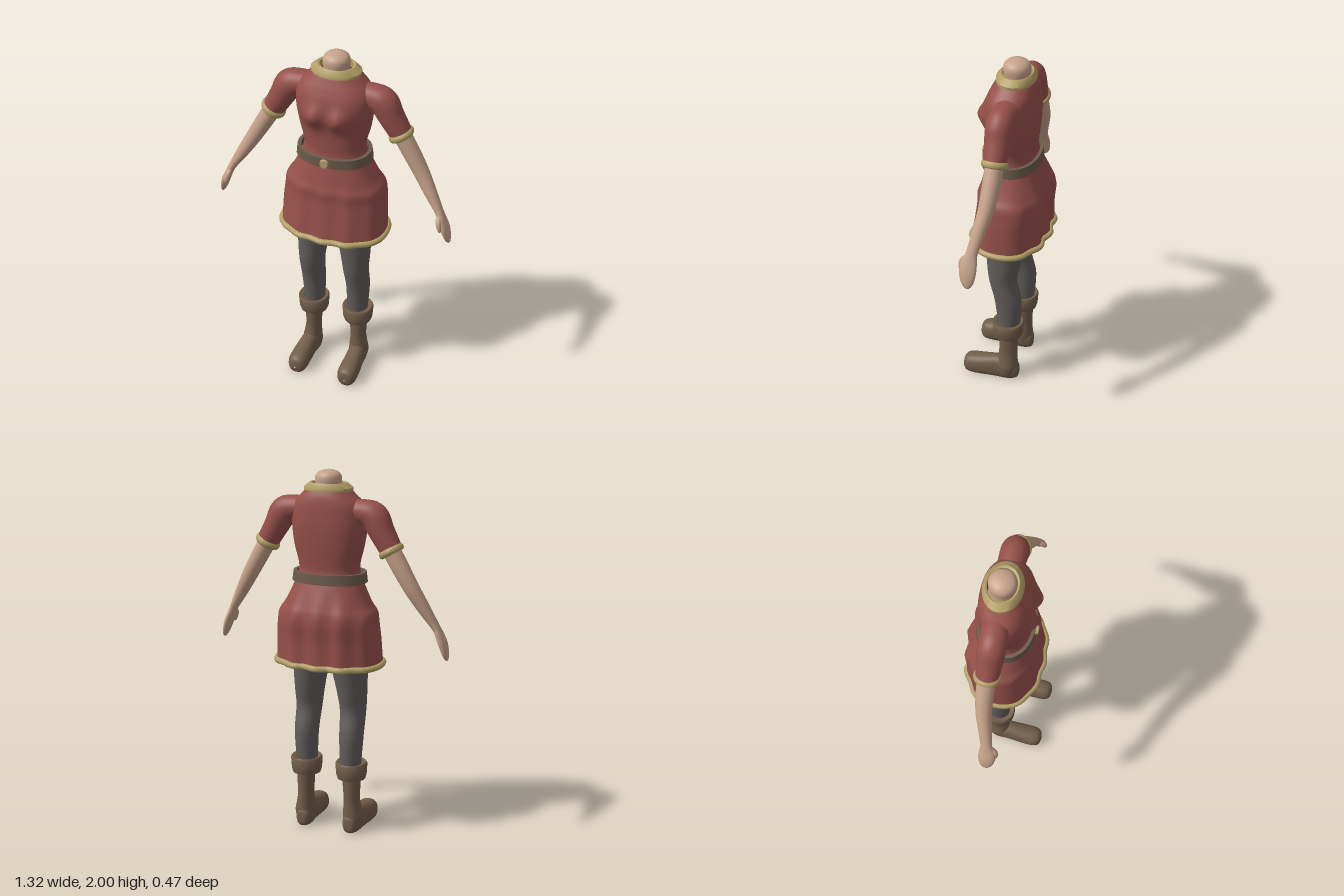
import * as THREE from 'three';
import { toCreasedNormals } from 'three/addons/utils/BufferGeometryUtils.js';

const material = (name, color, side = THREE.FrontSide) => {
  const m = new THREE.MeshStandardMaterial({ color, side });
  m.name = name;
  return m;
};

// Smoothly refine control rows with a Catmull-Rom rule
function refine(rows, steps) {
  const out = [];
  for (let i = 0; i < rows.length - 1; i++) {
    const a = rows[Math.max(i - 1, 0)], b = rows[i], c = rows[i + 1], d = rows[Math.min(i + 2, rows.length - 1)];
    for (let s = 0; s < steps; s++) {
      const t = s / steps;
      out.push(b.map((_, k) => 0.5 * (2 * b[k] + (c[k] - a[k]) * t + (2 * a[k] - 5 * b[k] + 4 * c[k] - d[k]) * t * t
        + (3 * b[k] - a[k] - 3 * c[k] + d[k]) * t * t * t)));
    }
  }
  out.push(rows[rows.length - 1]);
  return out;
}

// Loft of rings; each row is [x, y, z, radiusU, radiusV].
// axis 'y': level rings, 'z': upright rings, 'path': rings square to a path in the xy plane
function loft(rows, { axis = 'y', n = 32, steps = 5, power = 1, warp = null } = {}) {
  const R = steps > 1 ? refine(rows, steps) : rows;
  const pos = [], index = [];
  const u = new THREE.Vector3(1, 0, 0);
  const v = axis === 'z' ? new THREE.Vector3(0, 1, 0) : new THREE.Vector3(0, 0, 1);
  const at = (i) => new THREE.Vector3(...R[i].slice(0, 3));
  const bend = (t) => Math.sign(t) * Math.pow(Math.abs(t), power);
  let flip = false;
  R.forEach((r, i) => {
    const d = at(Math.min(i + 1, R.length - 1)).sub(at(Math.max(i - 1, 0)));
    if (axis === 'path') u.set(d.y, -d.x, 0).normalize();
    if (i === 0) flip = u.clone().cross(v).dot(d) < 0;
    for (let j = 0; j < n; j++) {
      const a = j / n * Math.PI * 2;
      const p = at(i).addScaledVector(u, bend(Math.cos(a)) * Math.max(r[3], 0.001))
        .addScaledVector(v, bend(Math.sin(a)) * Math.max(r[4], 0.001));
      if (warp) warp(p);
      pos.push(p.x, p.y, p.z);
    }
  });
  for (let i = 0; i < R.length - 1; i++) for (let j = 0; j < n; j++) {
    const a = i * n + j, b = i * n + (j + 1) % n, c = a + n, d = b + n;
    if (flip) index.push(a, c, b, b, c, d);
    else index.push(a, b, c, b, d, c);
  }
  const g = new THREE.BufferGeometry();
  g.setAttribute('position', new THREE.Float32BufferAttribute(pos, 3));
  g.setIndex(index);
  g.computeVertexNormals();
  return g;
}

// Row from [height, half width, front z, back z]
const level = ([y, w, f, b]) => [0, y, (f + b) / 2, w, (f - b) / 2];
// Closed band from a profile that starts with its outer side, bottom first
const band = (rows, power = 1) => toCreasedNormals(loft([...rows, rows[0]], { steps: 1, n: 48, power }), 0.9);

// Chest shape and skirt folds
function drape(p) {
  if (p.z > 0) {
    const bust = Math.exp(-(((Math.abs(p.x) - 0.07) / 0.055) ** 2)) * Math.exp(-(((p.y - 1.69) / 0.06) ** 2));
    p.z += 0.042 * bust * Math.min(1, p.z / 0.06);
  }
  const k = THREE.MathUtils.clamp((1.38 - p.y) / 0.15, 0, 1);
  p.z *= 1 + k * (p.z < 0 ? 0.045 : 0.03) * Math.cos(p.x * Math.PI * 2 / 0.135);
}

export function createModel() {
  const model = new THREE.Group();
  const red = material('red cloth', 0x96504a, THREE.DoubleSide);
  const gold = material('gold trim', 0xb39f66);
  const skin = material('skin', 0xc6a28a);
  const grey = material('grey leggings', 0x625e5c);
  const brown = material('brown boots', 0x725d49);
  const leather = material('belt leather', 0x6b5b4a);
  const add = (name, geometry, mat) => {
    const m = new THREE.Mesh(geometry, mat);
    m.name = name;
    model.add(m);
    return m;
  };

  // Tunic body and skirt
  const tunic = [
    [0.96, 0.292, 0.183, -0.214], [1.1, 0.286, 0.163, -0.212], [1.19, 0.278, 0.152, -0.22], [1.25, 0.268, 0.152, -0.214],
    [1.3, 0.235, 0.138, -0.197], [1.4, 0.187, 0.115, -0.16], [1.46, 0.167, 0.1, -0.14], [1.51, 0.167, 0.1, -0.14],
    [1.6, 0.19, 0.105, -0.148], [1.7, 0.204, 0.118, -0.153], [1.78, 0.203, 0.114, -0.15], [1.83, 0.185, 0.096, -0.146],
    [1.87, 0.146, 0.076, -0.138], [1.91, 0.105, 0.055, -0.12],
  ].map(level);
  add('tunic', loft(tunic, { n: 72, power: 0.86, warp: drape }), red);

  // Hem trim follows the folded lower edge
  const hemPoints = [], hem = tunic[0];
  for (let j = 0; j < 72; j++) {
    const a = j / 72 * Math.PI * 2, bend = (t) => Math.sign(t) * Math.abs(t) ** 0.86;
    const p = new THREE.Vector3(bend(Math.cos(a)) * hem[3], 0.967, hem[2] + bend(Math.sin(a)) * hem[4]);
    drape(p);
    hemPoints.push(p);
  }
  add('hemTrim', new THREE.TubeGeometry(new THREE.CatmullRomCurve3(hemPoints, true), 144, 0.017, 8, true), gold);

  // Collar, neck, belt and buckle
  add('collar', band([[1.892, 0.133, 0.068, -0.133], [1.908, 0.134, 0.068, -0.134], [1.934, 0.1, 0.045, -0.118],
    [1.93, 0.088, 0.036, -0.11], [1.89, 0.09, 0.04, -0.112]].map(level)), gold);
  add('neck', loft([[1.82, 0.075, 0.04, -0.11], [1.9, 0.068, 0.033, -0.103], [1.955, 0.071, 0.036, -0.106],
    [1.982, 0.058, 0.023, -0.093], [1.996, 0.03, -0.005, -0.065], [2, 0.001, -0.034, -0.036]].map(level)), skin);
  add('belt', band([[1.408, 0.205, 0.138, -0.168], [1.462, 0.198, 0.136, -0.164], [1.462, 0.18, 0.118, -0.147],
    [1.408, 0.186, 0.12, -0.15]].map(level), 0.9), leather);
  const buckle = add('buckle', new THREE.CylinderGeometry(0.022, 0.026, 0.02, 20), gold);
  buckle.rotation.x = Math.PI / 2;
  buckle.position.set(0, 1.435, 0.14);

  for (const s of [1, -1]) {
    const side = s > 0 ? 'left' : 'right';
    const limb = (name, rows, mat, opts) => add(side + name, loft(rows.map(([x, ...r]) => [x * s, ...r]), opts), mat);

    // Sleeve and its cuff
    limb('Sleeve', [[0.12, 1.79, -0.035, 0.06, 0.065], [0.2, 1.787, -0.033, 0.067, 0.07], [0.257, 1.764, -0.032, 0.077, 0.072],
      [0.3, 1.69, -0.033, 0.068, 0.068], [0.355, 1.597, -0.036, 0.06, 0.058]], red, { axis: 'path' });
    const cuff = add(side + 'SleeveTrim', new THREE.TorusGeometry(0.055, 0.015, 10, 32), gold);
    cuff.scale.z = 1.3;
    cuff.position.set(0.354 * s, 1.595, -0.036);
    cuff.quaternion.setFromUnitVectors(new THREE.Vector3(0, 0, 1), new THREE.Vector3(0.5 * s, -0.866, 0).normalize());

    // Arm, hand and thumb
    limb('Arm', [[0.33, 1.64, -0.036, 0.048, 0.048], [0.4, 1.52, -0.036, 0.047, 0.047], [0.47, 1.4, -0.03, 0.042, 0.042],
      [0.53, 1.3, -0.012, 0.034, 0.036], [0.588, 1.205, 0.007, 0.022, 0.031], [0.61, 1.16, 0.015, 0.02, 0.042],
      [0.63, 1.11, 0.017, 0.021, 0.045], [0.645, 1.06, 0.015, 0.016, 0.034], [0.653, 1.032, 0.014, 0.008, 0.016],
      [0.655, 1.025, 0.014, 0.001, 0.002]], skin, { axis: 'path', n: 24 });
    limb('Thumb', [[0.592, 1.205, 0.02, 0.008, 0.008], [0.599, 1.17, 0.046, 0.015, 0.018], [0.607, 1.14, 0.057, 0.014, 0.015],
      [0.613, 1.115, 0.059, 0.009, 0.01], [0.615, 1.107, 0.059, 0.001, 0.001]], skin, { axis: 'path', n: 14 });

    // Leg
    limb('Leg', [[0.095, 1.2, -0.02, 0.1, 0.115], [0.103, 1.08, -0.015, 0.1, 0.115], [0.113, 0.94, -0.01, 0.096, 0.11],
      [0.125, 0.8, -0.003, 0.081, 0.093], [0.13, 0.69, 0, 0.071, 0.078], [0.133, 0.55, -0.03, 0.065, 0.076],
      [0.129, 0.36, -0.034, 0.057, 0.06]], grey);

    // Boot cuff, shaft and foot
    add(side + 'BootCuff', band([[0.313, 0.077, 0.079], [0.335, 0.084, 0.085], [0.396, 0.088, 0.089], [0.406, 0.082, 0.083],
      [0.398, 0.056, 0.06], [0.313, 0.045, 0.052]].map(([y, u, v]) => [0.134 * s, y, -0.03, u, v])), brown);
    limb('BootShaft', [[0.135, 0.37, -0.035, 0.052, 0.057], [0.137, 0.27, -0.034, 0.048, 0.054], [0.138, 0.19, -0.032, 0.044, 0.053],
      [0.141, 0.13, -0.029, 0.05, 0.058], [0.144, 0.08, -0.028, 0.056, 0.06], [0.144, 0.03, -0.028, 0.046, 0.055]], brown);
    limb('Foot', [[0.14, 0.045, -0.094, 0.003, 0.005], [0.14, 0.05, -0.086, 0.033, 0.046], [0.142, 0.063, -0.03, 0.052, 0.075],
      [0.146, 0.063, 0.03, 0.05, 0.073], [0.15, 0.055, 0.12, 0.055, 0.066], [0.151, 0.05, 0.19, 0.054, 0.059],
      [0.152, 0.048, 0.221, 0.036, 0.043], [0.152, 0.046, 0.23, 0.004, 0.006]], brown,
      { axis: 'z', power: 0.85, warp: (p) => { p.y = Math.max(p.y, 0); } });
  }
  return model;
}
